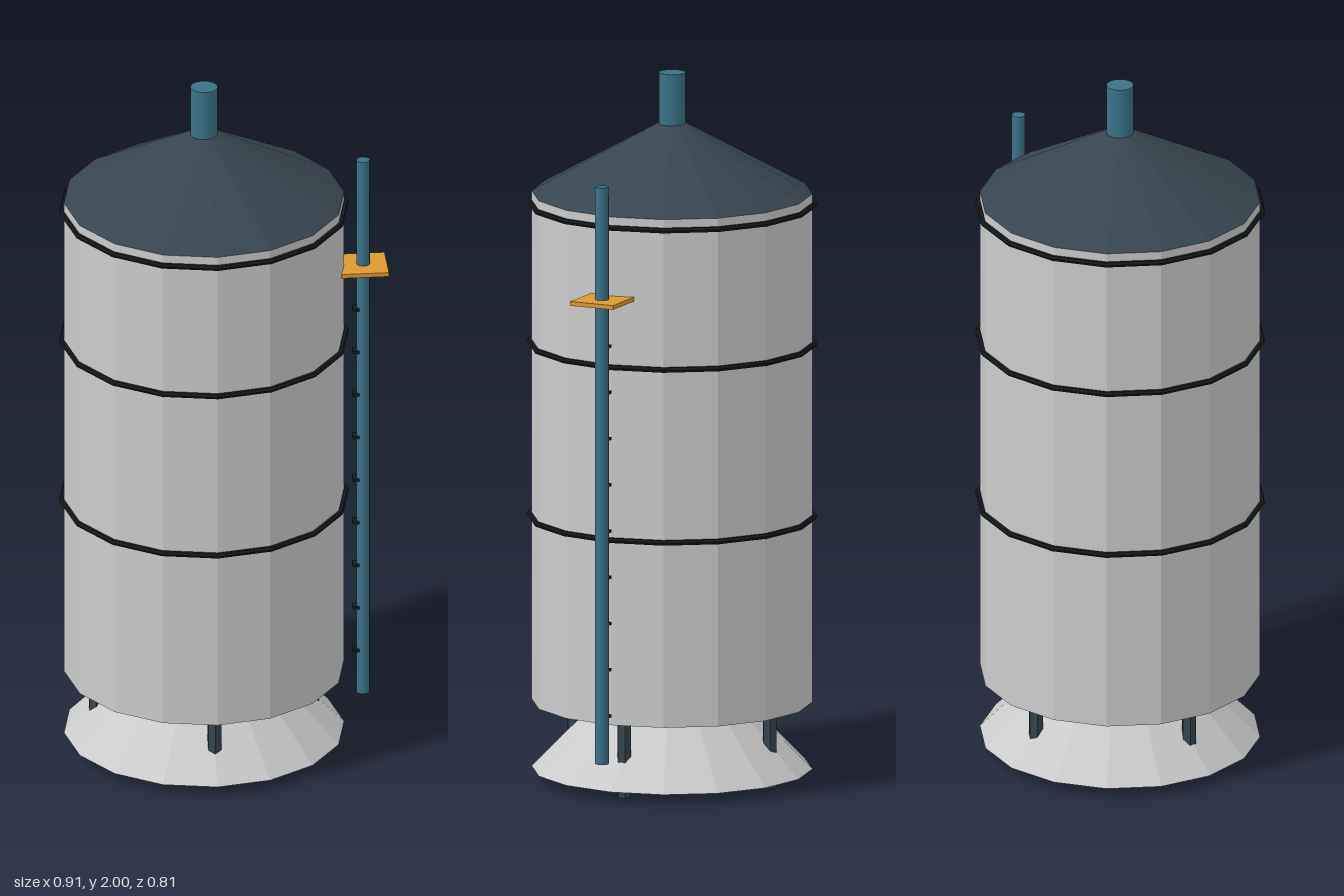
import * as THREE from 'three';

const mat = (color, flat = true) => new THREE.MeshStandardMaterial({ color, flatShading: flat });

export function createModel() {
  const root = new THREE.Group();
  root.name = 'storageSilo';
  const grey = mat(0xcccccc), dark = mat(0x36454f), black = mat(0x15191c);
  const teal = mat(0x3b7388, false), amber = mat(0xdd9a30);
  const CX = -0.053, SIDES = 16, R = 0.391;

  const add = (name, geometry, material, x, y, z = 0) => {
    const mesh = new THREE.Mesh(geometry, material);
    mesh.name = name;
    mesh.position.set(x, y, z);
    root.add(mesh);
    return mesh;
  };
  // Upright cylinder or cone given by its bottom and top heights
  const column = (name, material, rTop, rBottom, y0, y1, sides, x, z = 0) =>
    add(name, new THREE.CylinderGeometry(rTop, rBottom, y1 - y0, sides), material, x, (y0 + y1) / 2, z);

  // Tank, flared base, conical roof and vent
  column('tankBody', grey, R, R, 0.22, 1.66, SIDES, CX);
  column('flaredBase', grey, 0.2, R, 0.03, 0.225, SIDES, CX);
  column('roof', dark, 0.042, R, 1.66, 1.855, SIDES, CX);
  column('roofVent', teal, 0.038, 0.038, 1.84, 2, 16, CX);

  // Hoops around the tank, with corners matching the tank's
  for (const y of [0.745, 1.235, 1.63]) {
    const hoop = new THREE.TorusGeometry(0.397, 0.008, 6, SIDES).rotateX(Math.PI / 2);
    add('hoop', hoop, black, CX, y);
  }

  // Four legs passing through the base
  for (let i = 0; i < 4; i++) {
    const a = (i * Math.PI) / 2;
    column('leg', dark, 0.021, 0.021, 0, 0.23, 6, CX + 0.302 * Math.cos(a), 0.302 * Math.sin(a));
  }

  // Side pipe with small rungs and a platform
  column('sidePipe', teal, 0.019, 0.019, 0.12, 1.755, 12, 0.391);
  for (let i = 0; i < 9; i++) {
    add('rung', new THREE.BoxGeometry(0.03, 0.008, 0.03), black, 0.376, 0.252 + i * 0.131);
  }
  add('platform', new THREE.BoxGeometry(0.132, 0.012, 0.133), amber, 0.391, 1.43);

  return root;
}
